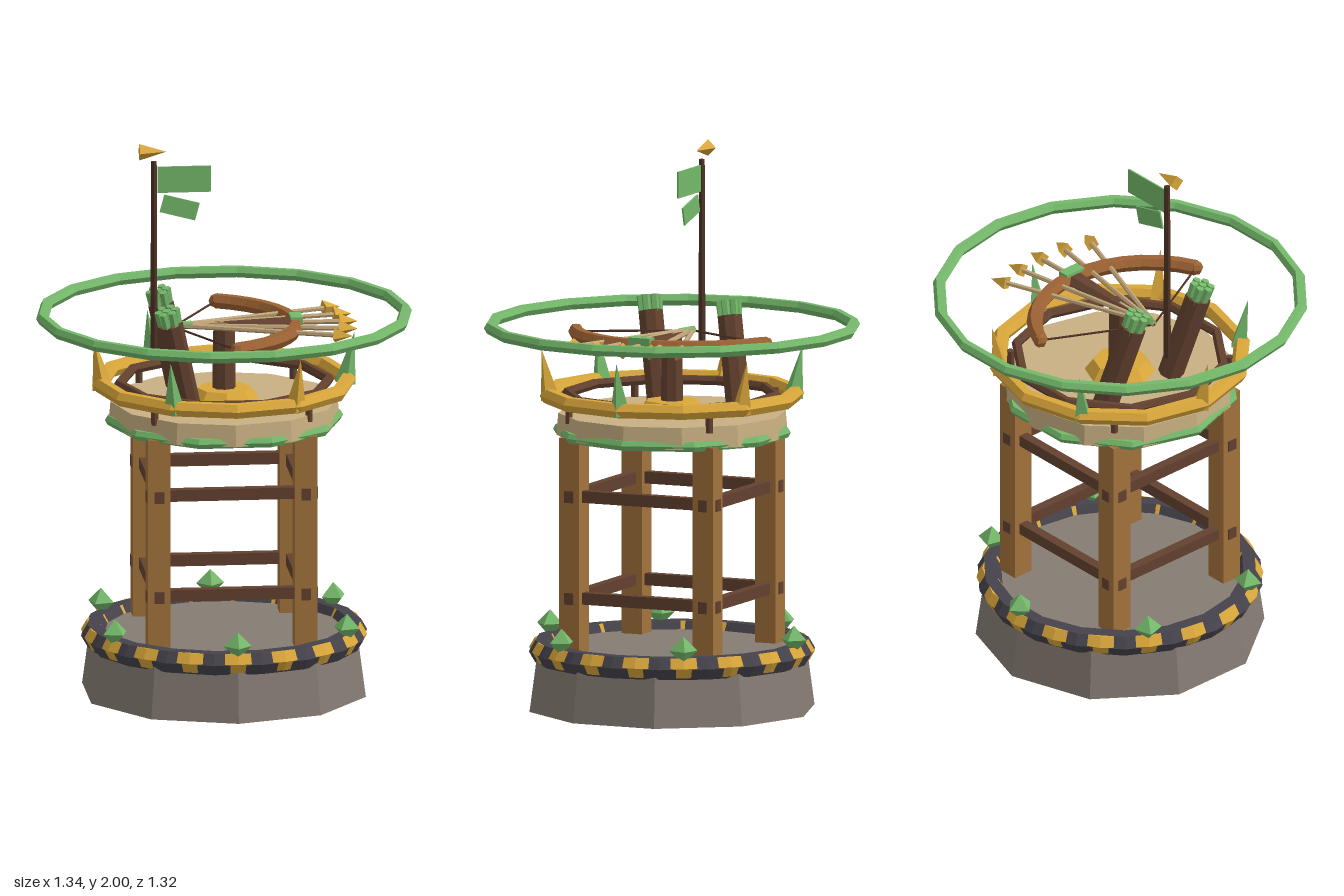
import * as THREE from 'three';

const mat = (color) => new THREE.MeshStandardMaterial({ color, flatShading: true, side: THREE.DoubleSide });
const M = {
  stone: mat(0x857b73), iron: mat(0x45424b), gold: mat(0xd9a63a), green: mat(0x74b86a),
  brown: mat(0x63412f), wood: mat(0xa3733c), tan: mat(0xc8b082), bow: mat(0x9c6233),
  pole: mat(0x4e3225), shaft: mat(0xbfa377),
};
const V = (x, y, z) => new THREE.Vector3(x, y, z);
const UP = V(0, 1, 0);

export function createModel() {
  const root = new THREE.Group();

  const add = (name, geo, material, x = 0, y = 0, z = 0, parent = root) => {
    const m = new THREE.Mesh(geo, material);
    m.name = name;
    m.position.set(x, y, z);
    parent.add(m);
    return m;
  };
  const box = (name, w, h, d, material, x, y, z) =>
    add(name, new THREE.BoxGeometry(w, h, d), material, x, y, z);
  const drum = (name, rTop, rBottom, y0, y1, sides, material) =>
    add(name, new THREE.CylinderGeometry(rTop, rBottom, y1 - y0, sides), material, 0, (y0 + y1) / 2, 0);
  // horizontal hoop, optionally turned about y
  const hoop = (name, R, tube, sides, y, material, turn = 0) => {
    const g = new THREE.TorusGeometry(R, tube, 6, sides).rotateX(Math.PI / 2).rotateY(turn);
    return add(name, g, material, 0, y, 0);
  };
  // rod from a to b, with radius ra at a and rb at b
  const rod = (name, a, b, ra, rb, sides, material, parent = root) => {
    const dir = b.clone().sub(a);
    const c = a.clone().add(b).multiplyScalar(0.5);
    const m = add(name, new THREE.CylinderGeometry(rb, ra, dir.length(), sides), material, c.x, c.y, c.z, parent);
    m.quaternion.setFromUnitVectors(UP, dir.normalize());
    return m;
  };

  // stone base with bound rim
  drum('base', 0.485, 0.515, 0, 0.22, 10, M.stone);
  hoop('baseRim', 0.465, 0.045, 18, 0.21, M.iron);
  hoop('baseRimInlay', 0.468, 0.041, 18, 0.213, M.gold, Math.PI / 18);
  for (let i = 0; i < 6; i++) {
    const a = Math.PI / 2 + i * Math.PI / 3;
    const c = add('baseCrystal', new THREE.OctahedronGeometry(0.05), M.green,
      0.478 * Math.cos(a), 0.275, 0.478 * Math.sin(a));
    c.rotation.y = -a;
  }

  // legs, rungs and rail posts
  for (const sx of [-1, 1]) for (const sz of [-1, 1]) {
    box('leg', 0.08, 0.78, 0.08, M.wood, sx * 0.262, 0.6, sz * 0.262);
    rod('railPost', V(sx * 0.275, 1.04, sz * 0.275), V(sx * 0.275, 1.13, sz * 0.275), 0.014, 0.014, 6, M.brown);
  }
  for (const y of [0.415, 0.78]) for (const s of [-1, 1]) {
    box('rung', 0.612, 0.042, 0.035, M.brown, 0, y, s * 0.262);
    box('sideRung', 0.035, 0.042, 0.612, M.brown, s * 0.262, y, 0);
  }

  // platform and rails
  drum('platform', 0.405, 0.412, 0.985, 1.063, 12, M.tan);
  hoop('platformTrim', 0.405, 0.02, 10, 0.995, M.green);
  hoop('innerRail', 0.375, 0.018, 10, 1.125, M.brown);
  hoop('outerRail', 0.442, 0.029, 12, 1.125, M.gold);
  hoop('floatingRing', 0.648, 0.022, 18, 1.37, M.green);

  // rail spikes, leaning slightly outwards
  for (let i = 0; i < 6; i++) {
    const a = i * Math.PI / 3, c = Math.cos(a), s = Math.sin(a);
    rod('railSpike', V(0.432 * c, 1.11, 0.432 * s), V(0.465 * c, 1.295, 0.465 * s), 0.038, 0, 4,
      i % 2 ? M.gold : M.green);
  }

  // pedestal of the bow
  drum('pedestal', 0.095, 0.128, 1.06, 1.105, 8, M.gold);
  drum('pedestalPost', 0.038, 0.042, 1.1, 1.33, 8, M.brown);

  // stock, bow, grip and string
  const Y = 1.33, nock = V(-0.18, Y, 0);
  const stock = rod('stock', nock, V(0.25, Y, 0), 0.012, 0.042, 6, M.brown);
  stock.scale.x = 0.6;
  const half = 1.16, R = 0.405, cx = -0.152;
  add('bow', new THREE.TorusGeometry(R, 0.028, 6, 14, 2 * half).rotateZ(-half).rotateX(Math.PI / 2), M.bow, cx, Y, 0);
  box('grip', 0.042, 0.062, 0.084, M.green, 0.256, Y + 0.002, 0);
  for (const s of [-1, 1]) {
    const tip = V(cx + R * Math.cos(half), Y, s * R * Math.sin(half));
    rod('bowString', tip, nock, 0.004, 0.004, 5, M.pole);
    const end = add('bowTip', new THREE.SphereGeometry(0.028, 6, 4), M.bow, tip.x, tip.y, tip.z);
    end.scale.setScalar(0.95);
  }

  // fan of five arrows
  for (let i = -2; i <= 2; i++) {
    const a = i * Math.PI / 18;
    const at = (d) => V(nock.x + d * Math.cos(a), Y + 0.005, d * Math.sin(a));
    const arrow = new THREE.Group();
    arrow.name = 'arrow';
    root.add(arrow);
    rod('arrowShaft', at(0), at(0.6), 0.009, 0.009, 6, M.shaft, arrow);
    rod('arrowHead', at(0.59), at(0.655), 0.03, 0, 4, M.gold, arrow);
    rod('arrowFletching', at(0.0), at(0.07), 0.012, 0.01, 4, M.green, arrow);
  }

  // two leaning quivers filled with arrow ends
  for (const z of [0.115, -0.195]) {
    const a = V(-0.14, 1.065, z), b = V(-0.212, 1.385, z + 0.068);
    rod('quiver', a, b, 0.046, 0.046, 8, M.brown);
    const dir = b.clone().sub(a).normalize();
    const bundle = new THREE.Group();
    bundle.name = 'quiverArrows';
    bundle.position.copy(b);
    bundle.quaternion.setFromUnitVectors(UP, dir);
    root.add(bundle);
    for (let i = 0; i < 7; i++) {
      const r = i < 6 ? 0.029 : 0, t = i * Math.PI / 3;
      rod('quiverArrow', V(r * Math.cos(t), -0.02, r * Math.sin(t)),
        V(1.1 * r * Math.cos(t), 0.055, 1.1 * r * Math.sin(t)), 0.014, 0.015, 5, M.green, bundle);
    }
  }

  // flag pole with pennants and pointed finial
  rod('flagPole', V(-0.25, 1.23, 0), V(-0.25, 1.935, 0), 0.014, 0.011, 6, M.pole);
  box('flag', 0.19, 0.095, 0.006, M.green, -0.142, 1.868, 0);
  box('pennant', 0.13, 0.065, 0.006, M.green, -0.158, 1.765, 0).rotation.z = -0.26;
  rod('finial', V(-0.302, 1.97, 0), V(-0.205, 1.97, 0), 0.03, 0, 4, M.gold);

  return root;
}
